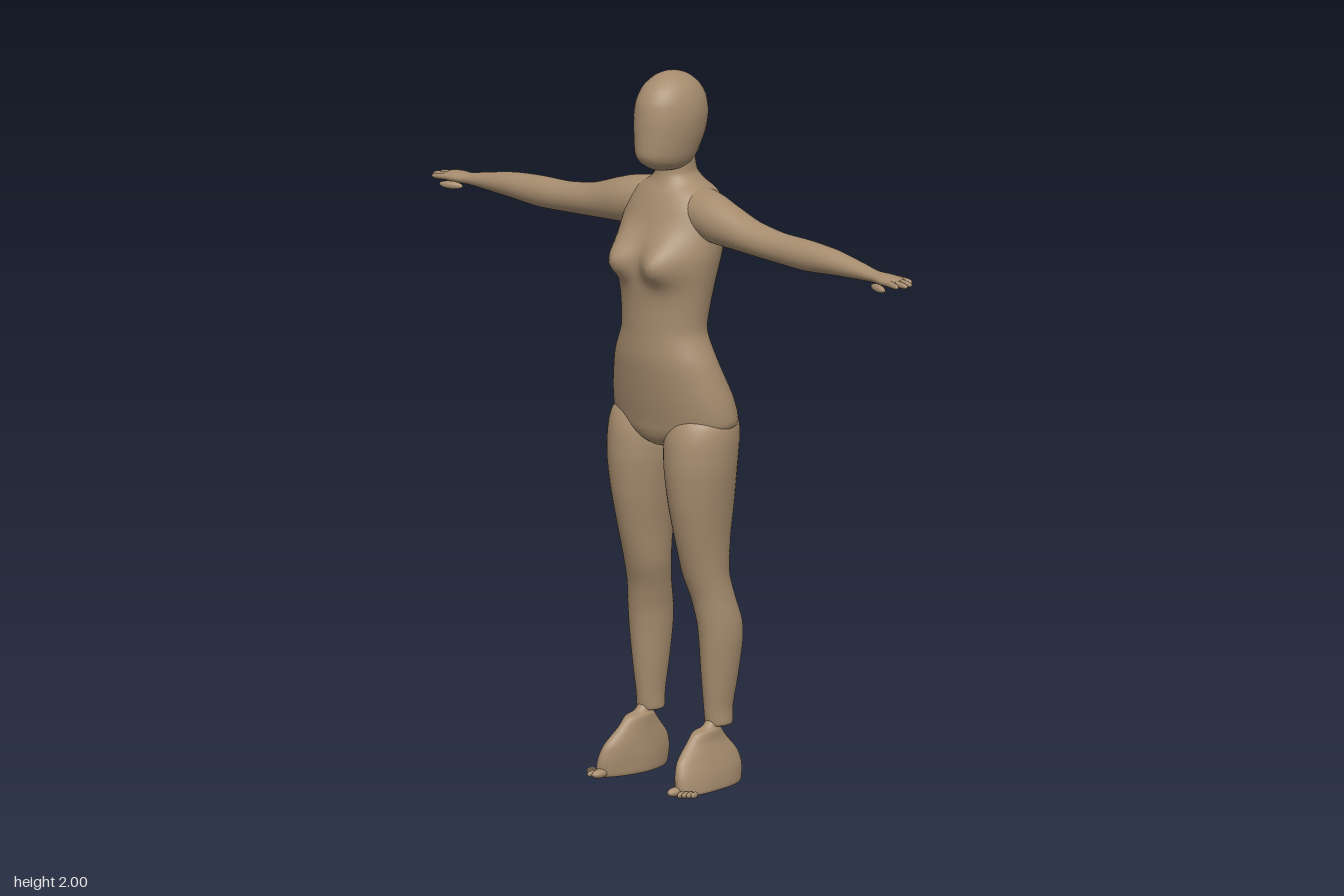
import * as THREE from 'three';

const skin = new THREE.MeshStandardMaterial({ color: 0xa68c6e });
skin.name = 'skin';

// Smooth interpolation of one column of a section list
function spline(rows, t, k) {
  const i = Math.min(Math.floor(t), rows.length - 2), f = t - i;
  const at = (n) => rows[Math.max(0, Math.min(rows.length - 1, n))][k];
  const a = at(i - 1), b = at(i), c = at(i + 1), d = at(i + 2);
  const m0 = (c - a) * 0.4, m1 = (d - b) * 0.4;
  const f2 = f * f, f3 = f2 * f;
  return (2 * f3 - 3 * f2 + 1) * b + (f3 - 2 * f2 + f) * m0 + (3 * f2 - 2 * f3) * c + (f3 - f2) * m1;
}

// Closed skin over oval sections. axis 'y': [y, x0, x1, z0, z1], axis 'x': [x, y0, y1, z0, z1].
// side -1 mirrors the part; shape(p) may push the points about.
function loft(name, rows, { axis = 'y', side = 1, shape = null, steps = 5, sides = 40 } = {}) {
  const pos = [], index = [], p = new THREE.Vector3();
  const count = (rows.length - 1) * steps;
  const flip = (axis === 'x') !== (side < 0);
  const tri = (a, b, c) => (flip ? index.push(a, c, b) : index.push(a, b, c));
  for (let j = 0; j <= count; j++) {
    const [s, a0, a1, b0, b1] = [0, 1, 2, 3, 4].map((k) => spline(rows, j / steps, k));
    for (let i = 0; i < sides; i++) {
      const th = (i / sides) * Math.PI * 2;
      const a = (a0 + a1) / 2 + ((a1 - a0) / 2) * Math.cos(th);
      const b = (b0 + b1) / 2 + ((b1 - b0) / 2) * Math.sin(th);
      if (axis === 'y') p.set(a, s, b); else p.set(s, a, b);
      if (shape) shape(p);
      pos.push(p.x * side, p.y, p.z);
      if (j < count) {
        const q = j * sides + i, r = j * sides + ((i + 1) % sides);
        tri(q, q + sides, r);
        tri(r, q + sides, r + sides);
      }
    }
  }
  // End caps
  for (let i = 1; i < sides - 1; i++) {
    tri(0, i, i + 1);
    const e = count * sides;
    tri(e, e + i + 1, e + i);
  }
  const g = new THREE.BufferGeometry();
  g.setAttribute('position', new THREE.Float32BufferAttribute(pos, 3));
  g.setIndex(index);
  g.computeVertexNormals();
  const mesh = new THREE.Mesh(g, skin);
  mesh.name = name;
  return mesh;
}

// Ellipsoid for toes and thumb
function blob(name, x, y, z, rx, ry, rz, turn = 0) {
  const mesh = new THREE.Mesh(new THREE.SphereGeometry(1, 16, 12), skin);
  mesh.name = name;
  mesh.position.set(x, y, z);
  mesh.scale.set(rx, ry, rz);
  mesh.rotation.y = turn;
  return mesh;
}

const bell = (d, w) => Math.exp(-(d * d) / (w * w));

// Bust and seat swellings
function bodyShape(p) {
  const x = Math.abs(p.x);
  if (p.z > 0) p.z += 0.05 * bell(x - 0.075, 0.05) * bell(p.y - 1.475, p.y > 1.475 ? 0.075 : 0.045);
  else p.z -= 0.04 * bell(x - 0.08, 0.055) * bell(p.y - 1.02, p.y > 1.02 ? 0.075 : 0.05);
}

const torso = [
  [0.945, -0.005, 0.005, -0.03, 0.02], [0.955, -0.05, 0.05, -0.07, 0.06],
  [0.975, -0.11, 0.11, -0.105, 0.085], [1.0, -0.175, 0.175, -0.125, 0.095],
  [1.03, -0.203, 0.203, -0.137, 0.1], [1.1, -0.195, 0.195, -0.122, 0.113],
  [1.2, -0.165, 0.165, -0.085, 0.127], [1.28, -0.133, 0.133, -0.07, 0.127],
  [1.35, -0.137, 0.137, -0.08, 0.127], [1.42, -0.148, 0.148, -0.095, 0.13],
  [1.5, -0.161, 0.161, -0.115, 0.13], [1.58, -0.163, 0.163, -0.127, 0.098],
  [1.63, -0.15, 0.15, -0.126, 0.08], [1.665, -0.122, 0.122, -0.115, 0.064],
  [1.69, -0.08, 0.08, -0.095, 0.05], [1.715, -0.056, 0.056, -0.08, 0.042],
  [1.75, -0.052, 0.052, -0.072, 0.04], [1.8, -0.05, 0.05, -0.07, 0.04],
];

const head = [
  [1.728, -0.025, 0.025, -0.03, 0.055], [1.735, -0.045, 0.045, -0.06, 0.078],
  [1.755, -0.062, 0.062, -0.073, 0.108], [1.78, -0.072, 0.072, -0.086, 0.122],
  [1.83, -0.083, 0.083, -0.107, 0.122], [1.88, -0.088, 0.088, -0.114, 0.119],
  [1.925, -0.082, 0.082, -0.107, 0.111], [1.96, -0.067, 0.067, -0.085, 0.09],
  [1.985, -0.043, 0.043, -0.053, 0.057], [1.996, -0.02, 0.02, -0.023, 0.027],
  [2.0, -0.001, 0.001, -0.001, 0.003],
];

const leg = [
  [0.168, 0.098, 0.155, -0.088, -0.018], [0.175, 0.092, 0.163, -0.094, -0.011],
  [0.22, 0.091, 0.163, -0.096, -0.006], [0.3, 0.084, 0.174, -0.11, 0.002],
  [0.4, 0.077, 0.185, -0.124, 0.01], [0.46, 0.073, 0.185, -0.122, 0.016],
  [0.53, 0.062, 0.176, -0.103, 0.028], [0.6, 0.048, 0.17, -0.09, 0.05],
  [0.7, 0.04, 0.175, -0.096, 0.077], [0.8, 0.027, 0.187, -0.107, 0.098],
  [0.9, 0.013, 0.2, -0.112, 0.107], [0.98, 0.008, 0.203, -0.118, 0.102],
  [1.03, 0.02, 0.195, -0.11, 0.085], [1.07, 0.05, 0.16, -0.07, 0.05],
];

const foot = [
  [0.0, 0.103, 0.172, -0.105, 0.115], [0.006, 0.092, 0.185, -0.12, 0.132],
  [0.05, 0.091, 0.18, -0.127, 0.133], [0.09, 0.094, 0.168, -0.115, 0.118],
  [0.13, 0.098, 0.155, -0.08, 0.075], [0.158, 0.1, 0.152, -0.058, 0.045],
  [0.167, 0.107, 0.147, -0.05, 0.01], [0.185, 0.11, 0.145, -0.05, -0.01],
];

const arm = [
  [0.04, 1.57, 1.675, -0.09, 0.035], [0.1, 1.55, 1.682, -0.09, 0.05],
  [0.16, 1.54, 1.674, -0.075, 0.055], [0.21, 1.538, 1.659, -0.064, 0.052],
  [0.3, 1.533, 1.628, -0.056, 0.043], [0.4, 1.527, 1.612, -0.05, 0.034],
  [0.5, 1.523, 1.609, -0.05, 0.033], [0.6, 1.53, 1.601, -0.045, 0.029],
  [0.7, 1.535, 1.583, -0.034, 0.019], [0.76, 1.538, 1.571, -0.028, 0.017],
  [0.8, 1.537, 1.569, -0.038, 0.026], [0.835, 1.538, 1.565, -0.041, 0.026],
  [0.85, 1.546, 1.558, -0.03, 0.015],
];

// Finger: [root z, tip z, tip x]
const fingers = [[-0.034, -0.042, 0.862], [-0.017, -0.018, 0.885], [0.0, 0.005, 0.89], [0.016, 0.026, 0.875]];

function finger([z0, z1, tip], side) {
  const r = 0.009, rows = [];
  for (const [f, k] of [[0, 1], [0.5, 1], [0.85, 0.8], [0.97, 0.45], [1, 0.05]]) {
    const z = z0 + (z1 - z0) * f, y = 1.553 - 0.004 * f;
    rows.push([0.815 + (tip - 0.815) * f, y - r * k, y + r * k, z - r * k, z + r * k]);
  }
  return loft('finger', rows, { axis: 'x', side, steps: 3, sides: 12 });
}

// The foot splays outward toward the toes
const splay = (p) => { p.x += 0.1 * Math.max(0, p.z) * (1 - p.y / 0.19); };

export function createModel() {
  const model = new THREE.Group();
  model.name = 'figure';
  model.add(loft('torso', torso, { shape: bodyShape, sides: 72 }), loft('head', head));

  for (const side of [1, -1]) {
    const word = side > 0 ? 'left' : 'right';

    const legGroup = new THREE.Group();
    legGroup.name = word + 'Leg';
    legGroup.add(loft('leg', leg, { side, shape: bodyShape }), loft('foot', foot, { side, shape: splay }));
    // Big toe, then four shrinking toes toward the outside
    legGroup.add(blob('bigToe', side * 0.142, 0.014, 0.135, 0.016, 0.013, 0.029));
    for (let i = 0; i < 4; i++) {
      legGroup.add(blob('toe', side * (0.165 + i * 0.0095), 0.01, 0.135 - i * 0.007, 0.007, 0.009, 0.022 - i * 0.002, side * 0.2));
    }

    const armGroup = new THREE.Group();
    armGroup.name = word + 'Arm';
    armGroup.add(loft('arm', arm, { axis: 'x', side }));
    for (const f of fingers) armGroup.add(finger(f, side));
    armGroup.add(blob('thumb', side * 0.802, 1.535, 0.028, 0.036, 0.011, 0.011, -side * 0.3));

    model.add(legGroup, armGroup);
  }
  return model;
}
